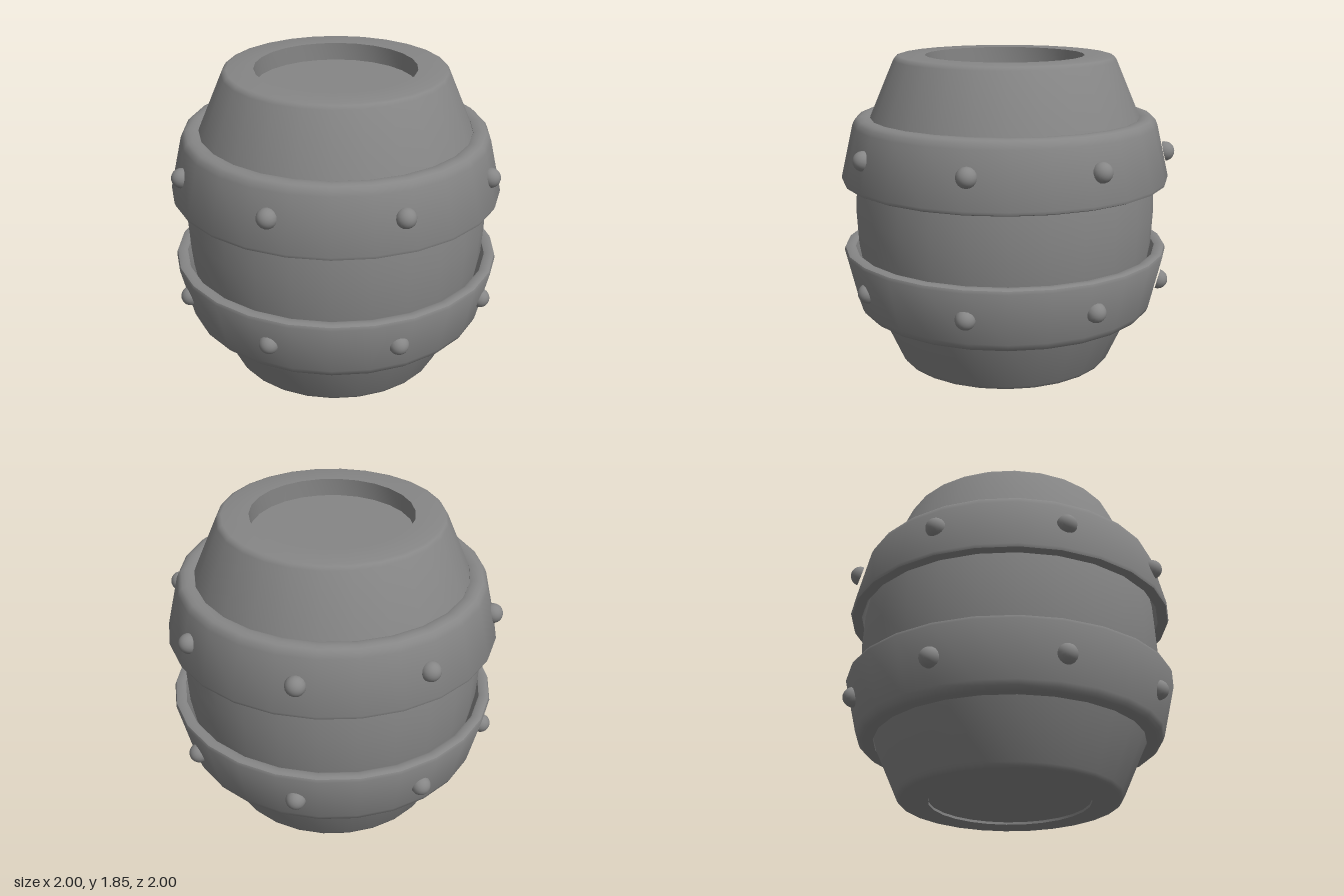
import * as THREE from 'three';
import { mergeVertices, toCreasedNormals } from 'three/addons/utils/BufferGeometryUtils.js';

const SIDES = 26;
const HEIGHT = 1.845;
const material = new THREE.MeshStandardMaterial({ color: 0x868686, side: THREE.DoubleSide });

// Revolves an [r, y] profile; a flat side faces the front.
function turned(profile, name) {
  const points = profile.map(([r, y]) => new THREE.Vector2(r, y));
  const lathe = new THREE.LatheGeometry(points, SIDES, Math.PI / SIDES);
  lathe.deleteAttribute('normal');
  lathe.deleteAttribute('uv');
  const mesh = new THREE.Mesh(toCreasedNormals(mergeVertices(lathe, 1e-4), 0.75), material);
  mesh.name = name;
  mesh.position.set(0.004, 0, 0.01);
  return mesh;
}

export function createModel() {
  const barrel = new THREE.Group();
  barrel.name = 'barrel';

  // Bulging body with a shallow recess below and a deeper one in the lid
  barrel.add(turned([
    [0, 0.015], [0.47, 0.015], [0.47, 0], [0.625, 0], [0.643, 0.006], [0.656, 0.025],
    [0.794, 0.335], [0.855, 0.53], [0.888, 0.72], [0.898, 0.92],
    [0.888, 1.125], [0.855, 1.315], [0.794, 1.5],
    [0.656, 1.82], [0.643, 1.839], [0.625, HEIGHT], [0.47, HEIGHT], [0.47, 1.74], [0, 1.74],
  ], 'body'));

  // Tapered hoops with rounded rims, the wide ends facing each other
  const hoop = [
    [0.925, 1.11], [0.956, 1.11], [0.971, 1.117], [0.977, 1.135],
    [0.904, 1.445], [0.892, 1.473], [0.875, 1.489], [0.85, 1.495],
    [0.82, 1.495], [0.8, 1.487], [0.79, 1.46],
    [0.905, 1.135], [0.91, 1.117], [0.925, 1.11],
  ];
  const lowerHoop = hoop.map(([r, y]) => [r, 1.825 - y]).reverse();
  barrel.add(turned(hoop, 'upperHoop'), turned(lowerHoop, 'lowerHoop'));

  // Eight domed rivets around each hoop, tilted to its slope
  const dome = new THREE.SphereGeometry(0.058, 16, 8, 0, Math.PI * 2, 0, Math.PI / 2);
  dome.rotateX(Math.PI / 2);
  for (const [name, radius, y, tilt, turn] of [
    ['upperRivets', 0.94, 1.305, -0.25, 0],
    ['lowerRivets', 0.932, 0.528, 0.25, -0.016],
  ]) {
    const ring = new THREE.Group();
    ring.name = name;
    for (let i = 0; i < 8; i++) {
      const angle = turn + (i * Math.PI) / 4;
      const rivet = new THREE.Mesh(dome, material);
      rivet.name = 'rivet';
      rivet.rotation.set(tilt, angle, 0, 'YXZ');
      rivet.position.set(Math.sin(angle) * radius, y, Math.cos(angle) * radius);
      ring.add(rivet);
    }
    barrel.add(ring);
  }
  return barrel;
}
